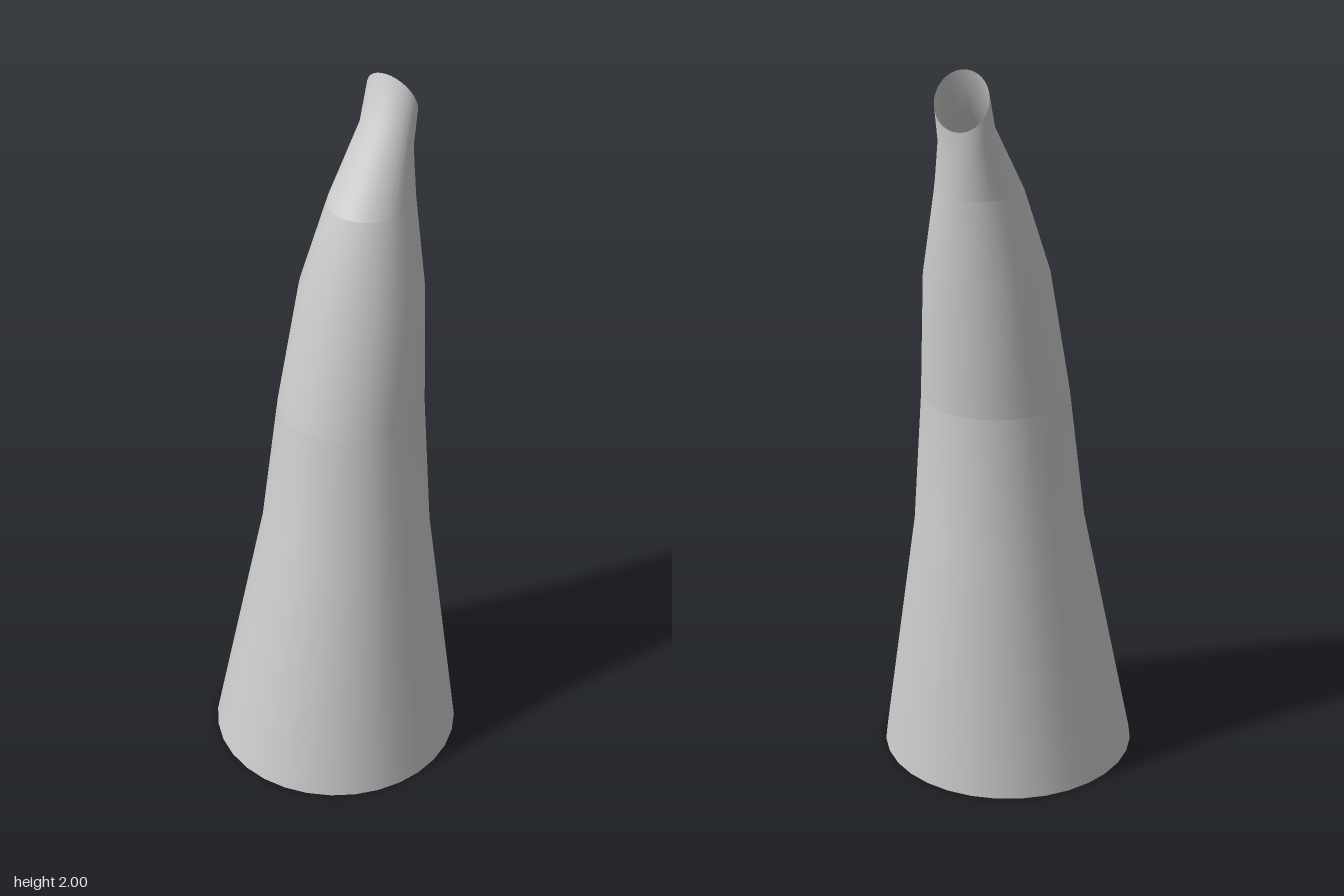
import * as THREE from 'three';

const SIDES = 32;
const material = new THREE.MeshStandardMaterial({ color: 0xcccccc, side: THREE.DoubleSide });

// Cross-sections: centre x, half width, then [z, y] of the front and back points
const base = { x: 0, w: 0.352, front: [0.352, 0], back: [-0.352, 0] };
const lower = { x: 0, w: 0.234, front: [0.185, 0.71], back: [-0.283, 0.71] };
const middle = { x: 0, w: 0.2, front: [0.128, 1.09], back: [-0.269, 1.09] };
const upper = { x: 0, w: 0.167, front: [0.047, 1.44], back: [-0.281, 1.44] };
const shoulder = { x: -0.002, w: 0.113, front: [-0.037, 1.67], back: [-0.281, 1.68] };
const neck = { x: -0.007, w: 0.078, front: [-0.182, 1.88], back: [-0.281, 1.79] };
const mouth = { x: -0.007, w: 0.077, front: [-0.226, 2], back: [-0.284, 1.855] };

// Open tube skinned through a list of elliptical, possibly tilted rings
function loft(name, rings) {
  const positions = [];
  const index = [];
  rings.forEach(({ x, w, front, back }, r) => {
    for (let i = 0; i < SIDES; i++) {
      const a = (i / SIDES) * Math.PI * 2;
      const t = (1 - Math.sin(a)) / 2;
      positions.push(
        x + w * Math.cos(a),
        THREE.MathUtils.lerp(front[1], back[1], t),
        THREE.MathUtils.lerp(front[0], back[0], t)
      );
      if (r === 0) continue;
      const next = (i + 1) % SIDES;
      const lo = (r - 1) * SIDES;
      const hi = r * SIDES;
      index.push(lo + i, hi + i, lo + next, lo + next, hi + i, hi + next);
    }
  });
  const geometry = new THREE.BufferGeometry();
  geometry.setAttribute('position', new THREE.Float32BufferAttribute(positions, 3));
  geometry.setIndex(index);
  geometry.computeVertexNormals();
  const mesh = new THREE.Mesh(geometry, material);
  mesh.name = name;
  return mesh;
}

export function createModel() {
  const group = new THREE.Group();
  group.name = 'curvedHorn';
  // Separate sections keep the shading seams between them
  group.add(
    loft('lowerSection', [base, lower, middle]),
    loft('upperSection', [middle, upper, shoulder]),
    loft('tip', [shoulder, neck, mouth])
  );
  return group;
}
